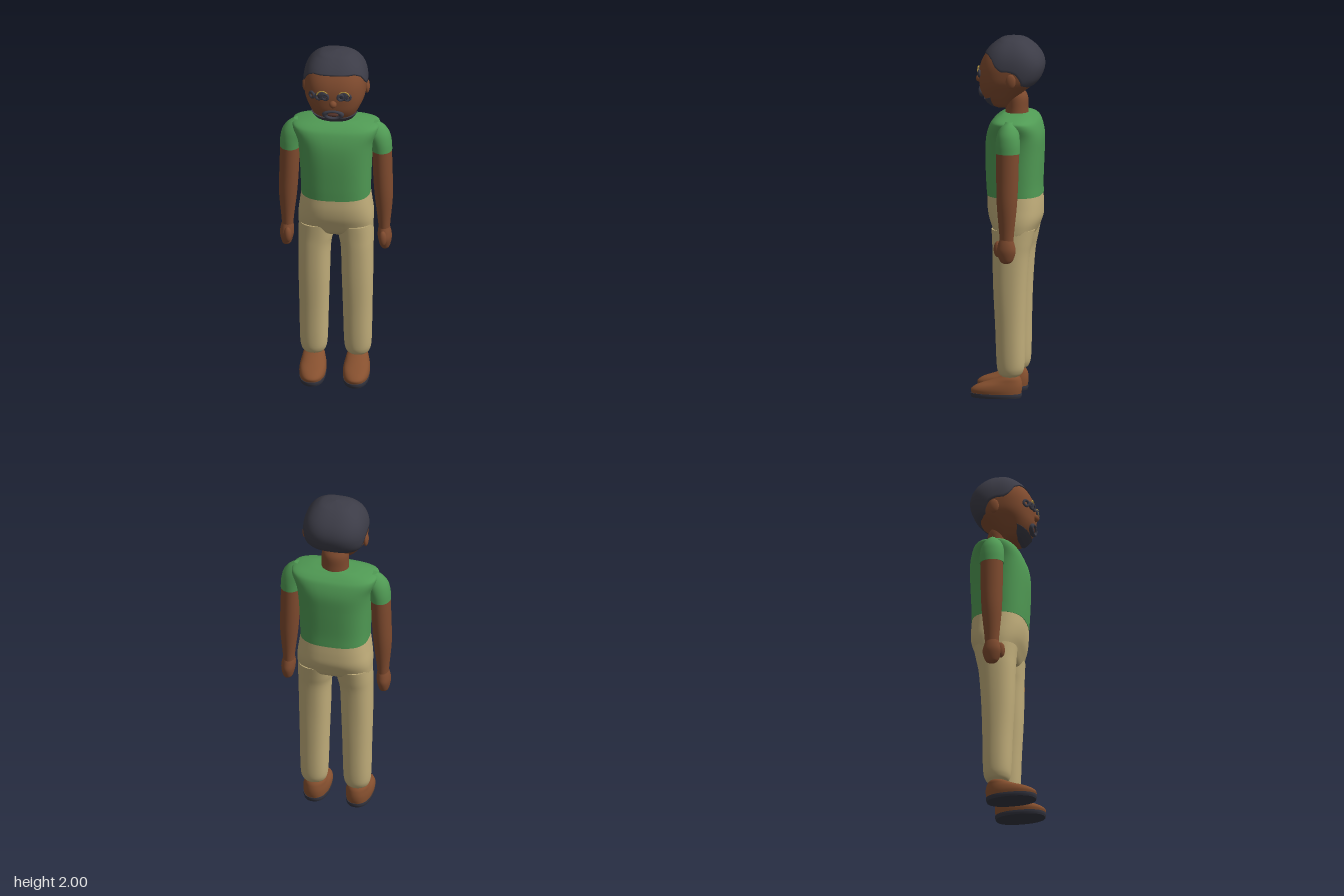
import * as THREE from 'three';

const material = (name, color, side = THREE.FrontSide) => {
  const m = new THREE.MeshStandardMaterial({ color, side });
  m.name = name;
  return m;
};

// Smooth curve through rows of numbers, keyed by the given positions
function spline(keys, rows) {
  const f = new THREE.CubicInterpolant(new Float32Array(keys), new Float32Array(rows.flat()), rows[0].length);
  return (t) => Array.from(f.evaluate(t));
}

// Point on a rounded-square section; angle 0 is the front, a quarter turn is +x
function onSection([y, cx, rx, zf, zb, n], a, grow = 0) {
  const p = (v) => Math.sign(v) * Math.abs(v) ** (2 / n);
  return [cx + (rx + grow) * p(Math.sin(a)), y, (zf + zb) / 2 + ((zf - zb) / 2 + grow) * p(Math.cos(a))];
}

// Surface through rows of points, ordered upwards
function skin(rows, closed) {
  const n = rows[0].length, index = [];
  for (let r = 0; r < rows.length - 1; r++) {
    for (let j = 0; j < (closed ? n : n - 1); j++) {
      const k = (j + 1) % n, a = r * n + j, b = r * n + k;
      index.push(a, b, a + n, b, b + n, a + n);
    }
  }
  const g = new THREE.BufferGeometry();
  g.setAttribute('position', new THREE.Float32BufferAttribute(rows.flat(2), 3));
  g.setIndex(index);
  g.computeVertexNormals();
  return g;
}

const ring = (s, sides = 40) => Array.from({ length: sides }, (_, j) => onSection(s, (j / sides) * Math.PI * 2));

// Capped body through sections [y, centre x, half width, front z, back z, squareness]
function loft(sections, steps = 5) {
  const at = spline(sections.map((_, i) => i), sections);
  const rows = [], last = (sections.length - 1) * steps;
  for (let i = 0; i <= last; i++) rows.push(ring(at(i / steps)));
  const cap = ([y, cx, , zf, zb]) => rows[0].map(() => [cx, y, (zf + zb) / 2]);
  return skin([cap(sections[0]), rows[0], ...rows, rows[last], cap(sections.at(-1))], true);
}

// Head profile: y, half width, front z, back z
const headRows = [
  [1.6, 0.03, 0.07, 0.0], [1.615, 0.075, 0.095, 0.0], [1.65, 0.11, 0.13, -0.03], [1.7, 0.14, 0.158, -0.09],
  [1.75, 0.164, 0.165, -0.15], [1.8, 0.171, 0.166, -0.178], [1.85, 0.17, 0.157, -0.186], [1.9, 0.157, 0.133, -0.17],
  [1.94, 0.132, 0.1, -0.138], [1.97, 0.097, 0.06, -0.1], [1.985, 0.065, 0.03, -0.07], [1.995, 0, -0.02, -0.02],
].map(([y, rx, zf, zb]) => [y, 0, rx, zf, zb, 2.6]);
const headAt = spline(headRows.map((r) => r[0]), headRows);

// Height of the face surface at x, y
function faceZ(x, y) {
  const [, , rx, zf, zb, n] = headAt(y);
  return (zf + zb) / 2 + ((zf - zb) / 2) * (1 - Math.min(1, Math.abs(x / rx)) ** n) ** (1 / n);
}

// Shell lying on the head between two heights that depend on the angle
function headShell(a0, a1, low, high, thick, closed, cols = 96, steps = 20) {
  const rows = [];
  for (let i = -1; i <= steps + 1; i++) {
    const v = Math.sin((Math.min(1, Math.max(0, i / steps)) * Math.PI) / 2);
    const edge = i < 0 || (i > steps && !closed);
    rows.push(Array.from({ length: cols }, (_, j) => {
      const a = a0 + ((a1 - a0) * j) / (closed ? cols : cols - 1);
      const y = low(a) + (high(a) - low(a)) * v;
      const p = onSection(headAt(y), a, edge ? -0.006 : closed ? thick * Math.min(1, (1.995 - y) / 0.01) : thick);
      if (closed) p[1] += 0.005 * v;
      return p;
    }));
  }
  return skin(rows, closed);
}

const hairline = [[0, 1.912], [0.7, 1.91], [1.03, 1.89], [1.28, 1.845], [1.45, 1.825], [1.58, 1.825],
  [1.75, 1.81], [2.1, 1.745], [2.5, 1.732], [3.2, 1.735]];
function hairEdge(angle) {
  const a = Math.min(angle, Math.PI * 2 - angle);
  const i = hairline.findIndex((p) => p[0] > a);
  const [p, q] = [hairline[i - 1], hairline[i]];
  return p[1] + ((q[1] - p[1]) * (a - p[0])) / (q[0] - p[0]);
}

export function createModel() {
  const group = new THREE.Group();
  const skinMat = material('brown skin', 0x7e4a2e);
  const shirtMat = material('green shirt', 0x509a54);
  const pantsMat = material('tan trousers', 0xc0ad7a);
  const hairMat = material('dark hair', 0x3c3c47, THREE.DoubleSide);
  const shoeMat = material('brown leather', 0x86502f);
  const soleMat = material('dark sole', 0x33343f);
  const goldMat = material('gold trim', 0xb5953f);
  const lipMat = material('lips', 0x56352d);

  const add = (name, geometry, mat, pos = [0, 0, 0], scale = [1, 1, 1]) => {
    const m = new THREE.Mesh(geometry, mat);
    m.name = name;
    m.position.set(...pos);
    m.scale.set(...scale);
    group.add(m);
    return m;
  };
  const ball = (name, mat, pos, radii) => add(name, new THREE.SphereGeometry(1, 24, 16), mat, pos, radii);

  // Head, hair and neck
  const headRings = Array.from({ length: 41 }, (_, i) => ring(headAt(1.7975 - 0.1975 * Math.cos((i / 40) * Math.PI)), 64));
  add('head', skin([headRings[0].map(() => [0, 1.6, 0.035]), ...headRings], true), skinMat);
  add('hair', headShell(0, Math.PI * 2, hairEdge, () => 1.995, 0.006, true), hairMat);
  add('neck', loft([[1.54, 0, 0.078, 0.03, -0.105, 2], [1.6, 0, 0.075, 0.022, -0.102, 2],
    [1.66, 0, 0.075, 0.025, -0.1, 2], [1.7, 0, 0.07, 0.03, -0.08, 2]]), skinMat);

  // Face
  ball('nose', skinMat, [0, 1.756, 0.167], [0.021, 0.021, 0.021]);
  add('beard', headShell(-1.25, 1.25, (a) => 1.606 + 0.03 * (a / 1.25) ** 4,
    (a) => 1.652 + 0.022 * (a / 1.25) ** 2, 0.008, false, 40, 8), hairMat);
  add('moustache', new THREE.TorusGeometry(0.045, 0.016, 10, 32), hairMat, [0, 1.686, 0.152], [1, 0.52, 0.9])
    .rotation.x = 0.15;
  ball('lips', lipMat, [0, 1.683, 0.15], [0.035, 0.012, 0.012]);

  // Eyes: dark lobes with a gold arc above
  const loop = (x, y) => add('eyeLoop', new THREE.TorusGeometry(0.016, 0.008, 8, 20), hairMat,
    [x, y, faceZ(x, y) + 0.002]).rotation.y = Math.sign(x) * (Math.abs(x) > 0.1 ? 0.75 : 0.2);
  for (const s of [-1, 1]) {
    ball('eye', soleMat, [s * 0.06, 1.802, faceZ(0.06, 1.802)], [0.025, 0.025, 0.008]);
    loop(s * 0.043, 1.8);
    loop(s * 0.08, 1.798);
    add('eyeTrim', new THREE.TorusGeometry(0.031, 0.0035, 6, 20, Math.PI * 0.85), goldMat,
      [s * 0.06, 1.803, faceZ(0.06, 1.803) + 0.004]).rotation.z = 0.23;
  }
  loop(-0.118, 1.797);

  // Shirt body
  add('shirt', loft([[1.122, 0, 0.191, 0.12, -0.182, 2.7], [1.2, 0, 0.193, 0.125, -0.181, 2.7],
    [1.35, 0, 0.2, 0.13, -0.187, 2.7], [1.45, 0, 0.212, 0.123, -0.187, 2.8], [1.52, 0, 0.238, 0.1, -0.166, 3],
    [1.55, 0, 0.23, 0.073, -0.14, 3], [1.57, 0, 0.15, 0.04, -0.11, 2.6], [1.577, 0, 0.08, 0.025, -0.1, 2]]), shirtMat);

  // Trousers seat
  add('trouserSeat', loft([[0.875, 0, 0.17, 0.04, -0.08, 2.6], [0.9, 0, 0.2, 0.068, -0.135, 2.8],
    [0.95, 0, 0.207, 0.09, -0.163, 2.8], [1.0, 0, 0.206, 0.108, -0.181, 2.7], [1.06, 0, 0.198, 0.117, -0.183, 2.7],
    [1.13, 0, 0.189, 0.117, -0.179, 2.7]]), pantsMat);

  for (const s of [1, -1]) {
    const side = s > 0 ? 'left' : 'right';
    const part = (name, sections, mat) =>
      add(side + name, loft(sections.map(([y, x, ...rest]) => [y, s * x, ...rest])), mat);

    ball(side + 'Ear', skinMat, [s * 0.172, 1.773, -0.03], [0.014, 0.04, 0.028]);

    // Sleeve, arm and hand
    part('Sleeve', [[1.388, 0.253, 0.057, 0.042, -0.092, 2], [1.44, 0.247, 0.06, 0.042, -0.092, 2],
      [1.49, 0.232, 0.064, 0.036, -0.086, 2], [1.53, 0.21, 0.06, 0.02, -0.072, 2],
      [1.557, 0.19, 0.045, -0.005, -0.05, 2]], shirtMat);
    part('Arm', [[0.88, 0.266, 0.03, 0.015, -0.058, 2], [0.95, 0.266, 0.035, 0.02, -0.063, 2],
      [1.1, 0.264, 0.05, 0.033, -0.078, 2], [1.25, 0.258, 0.054, 0.037, -0.085, 2],
      [1.42, 0.253, 0.054, 0.038, -0.088, 2]], skinMat);
    part('Hand', [[0.776, 0.272, 0.012, -0.002, -0.035, 2], [0.79, 0.271, 0.026, 0.014, -0.055, 2],
      [0.84, 0.27, 0.038, 0.034, -0.072, 2], [0.88, 0.268, 0.037, 0.028, -0.066, 2],
      [0.92, 0.266, 0.028, 0.012, -0.052, 2]], skinMat);
    ball(side + 'Thumb', skinMat, [s * 0.262, 0.853, 0.028], [0.022, 0.045, 0.023]);

    // Trouser leg
    part('TrouserLeg', [[0.118, 0.121, 0.05, 0.025, -0.065, 2], [0.14, 0.121, 0.067, 0.045, -0.088, 2],
      [0.2, 0.121, 0.076, 0.055, -0.1, 2.2], [0.4, 0.12, 0.081, 0.063, -0.104, 2.2],
      [0.6, 0.119, 0.086, 0.073, -0.11, 2.3], [0.78, 0.117, 0.09, 0.078, -0.123, 2.3],
      [0.86, 0.11, 0.097, 0.08, -0.138, 2.3], [0.94, 0.104, 0.1, 0.085, -0.155, 2.3]], pantsMat);

    // Shoe and sole
    part('Shoe', [[0.022, 0.12, 0.071, 0.193, -0.08, 2.3], [0.045, 0.12, 0.074, 0.197, -0.085, 2.2],
      [0.068, 0.12, 0.071, 0.165, -0.086, 2.2], [0.09, 0.12, 0.064, 0.1, -0.083, 2.1],
      [0.11, 0.12, 0.057, 0.05, -0.076, 2], [0.13, 0.12, 0.04, 0.01, -0.06, 2]], shoeMat);
    part('Sole', [[0, 0.12, 0.07, 0.195, -0.08, 2.3], [0.012, 0.12, 0.073, 0.199, -0.084, 2.3],
      [0.024, 0.12, 0.073, 0.199, -0.084, 2.3]], soleMat);
  }
  return group;
}
